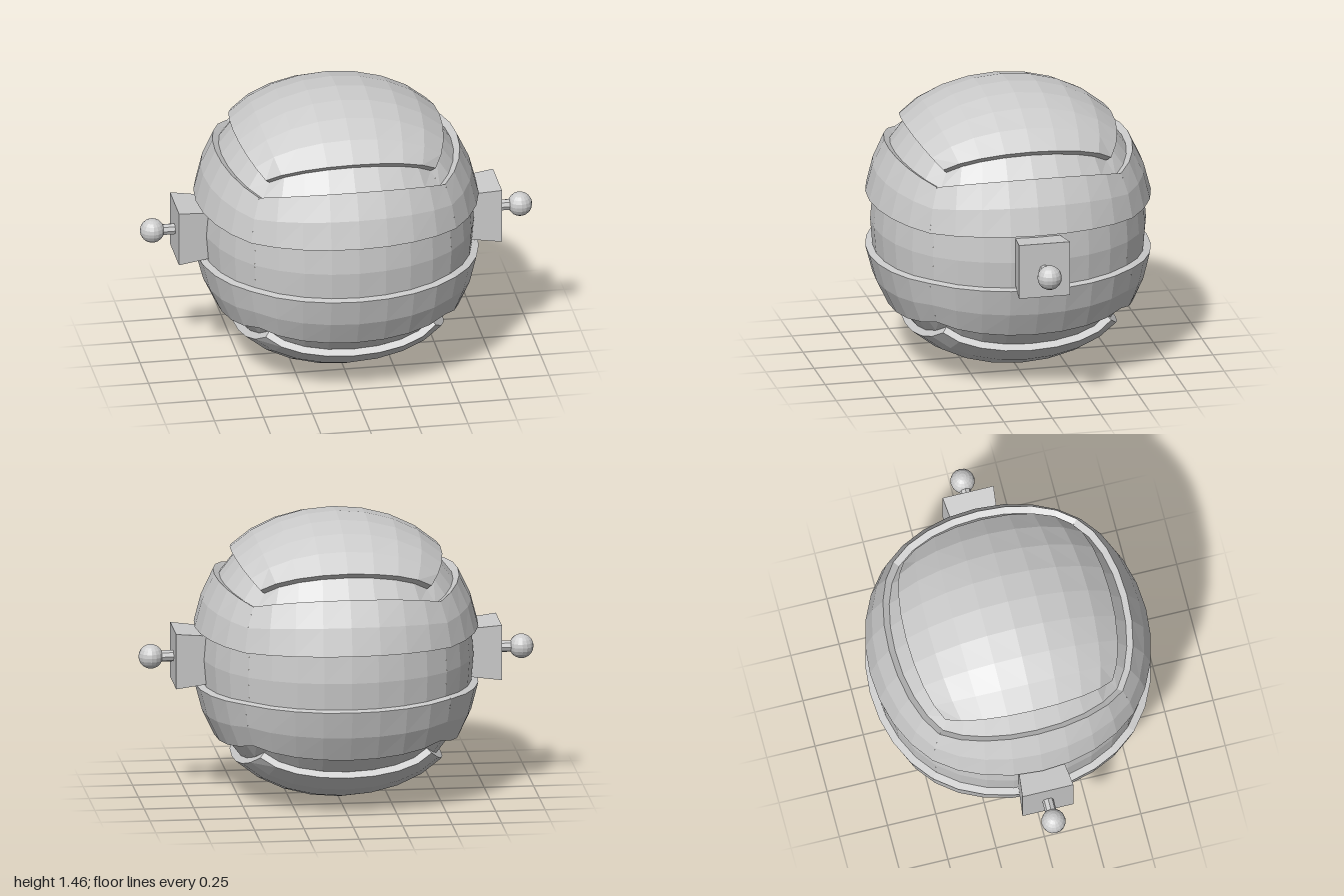
import * as THREE from 'three';

const SIZE = 0.867, CORE = 0.95, CENTRE_Y = 0.728;
const material = new THREE.MeshStandardMaterial({ color: 0xcccccc, flatShading: true });

// Point on one face (+z) of a rounded cube; u and v run from -1 to 1
function facePoint(u, v, scale) {
  const U = u * u, V = v * v, s = SIZE * scale;
  const side = (a, A, B) => a * (0.675 - 0.0655 * A - 0.053 * B - 0.0565 * A * B);
  return [
    side(u, U, V) * s,
    side(v, V, U) * s,
    (0.8395 - 0.2299 * (U + V) + 0.1203 * U * V) * s,
  ];
}

// Curved patch of a face in steps of 0.25, with optional rims dropping to the core
function patch(v0, v1, scale, rims = []) {
  const pos = [];
  const step = 0.25;
  const quad = (a, b, c, d) => pos.push(...a, ...b, ...c, ...a, ...c, ...d);
  for (let u = -1; u < 1; u += step) {
    for (let v = v0; v < v1; v += step) {
      quad(facePoint(u, v, scale), facePoint(u + step, v, scale),
        facePoint(u + step, v + step, scale), facePoint(u, v + step, scale));
    }
  }
  const wall = (a, b) => quad(facePoint(...a, CORE), facePoint(...b, CORE),
    facePoint(...b, scale), facePoint(...a, scale));
  for (let u = -1; u < 1; u += step) {
    if (rims.includes('v')) {
      wall([u, v0], [u + step, v0]);
      wall([u + step, v1], [u, v1]);
    }
    if (rims.includes('u')) {
      wall([1, u], [1, u + step]);
      wall([-1, u + step], [-1, u]);
    }
  }
  const geo = new THREE.BufferGeometry();
  geo.setAttribute('position', new THREE.Float32BufferAttribute(pos, 3));
  geo.computeVertexNormals();
  return geo;
}

function add(parent, name, geo) {
  const mesh = new THREE.Mesh(geo, material);
  mesh.name = name;
  parent.add(mesh);
  return mesh;
}

export function createModel() {
  const model = new THREE.Group();
  model.name = 'armouredSphere';
  const body = new THREE.Group();
  body.name = 'body';
  body.position.y = CENTRE_Y;
  model.add(body);

  // Inner core: six rounded cube faces
  const core = new THREE.Group();
  core.name = 'core';
  body.add(core);
  for (let i = 0; i < 4; i++) {
    add(core, 'coreSide', patch(-1, 1, CORE)).rotation.y = i * Math.PI / 2;
  }
  for (const s of [-1, 1]) {
    add(core, 'coreEnd', patch(-1, 1, CORE)).rotation.x = s * Math.PI / 2;
  }

  // Raised cap and band, repeated upside down for the lower half
  for (const half of ['upper', 'lower']) {
    const shell = new THREE.Group();
    shell.name = half + 'Shell';
    if (half === 'lower') shell.rotation.x = Math.PI;
    body.add(shell);
    add(shell, half + 'Cap', patch(-1, 1, 1, ['u', 'v'])).rotation.x = -Math.PI / 2;
    for (let i = 0; i < 4; i++) {
      add(shell, half + 'Band', patch(0.25, 0.75, 1, ['v'])).rotation.y = i * Math.PI / 2;
    }
  }

  // Side mounts: flared block, rod and ball
  for (const side of ['left', 'right']) {
    const mount = new THREE.Group();
    mount.name = side + 'Mount';
    if (side === 'right') mount.rotation.y = Math.PI;
    body.add(mount);

    const block = new THREE.BoxGeometry(0.2, 0.284, 0.264);
    const p = block.attributes.position;
    for (let i = 0; i < p.count; i++) {
      if (p.getX(i) < 0) p.setXYZ(i, p.getX(i), p.getY(i) * 0.85, p.getZ(i) * 0.83);
    }
    block.computeVertexNormals();
    add(mount, side + 'Block', block).position.x = 0.724;

    const rod = new THREE.CylinderGeometry(0.029, 0.029, 0.12, 8);
    rod.rotateZ(Math.PI / 2);
    add(mount, side + 'Rod', rod).position.x = 0.87;

    add(mount, side + 'Ball', new THREE.SphereGeometry(0.062, 16, 10)).position.x = 0.938;
  }
  return model;
}
